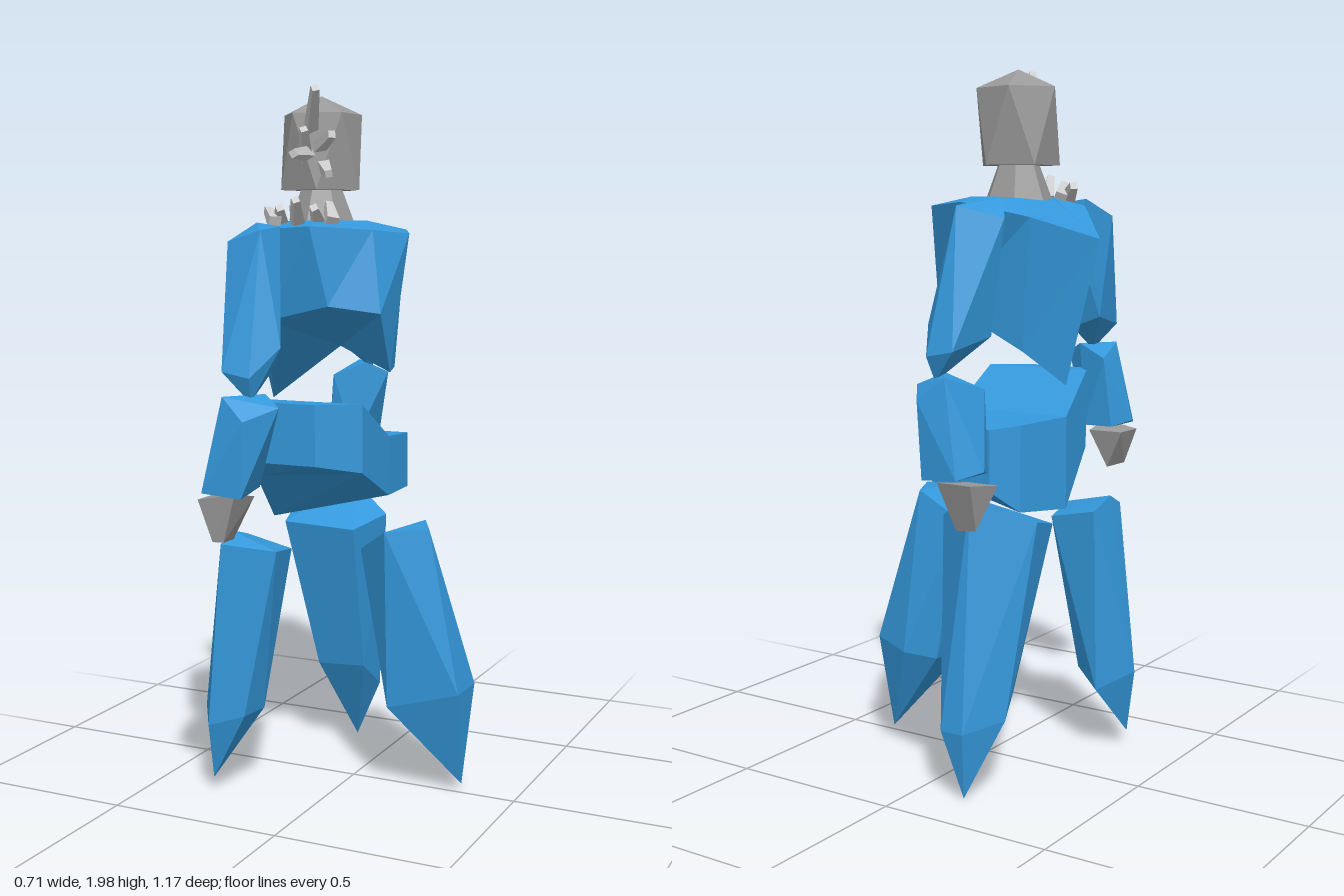
import * as THREE from 'three';
import { ConvexGeometry } from 'three/addons/geometries/ConvexGeometry.js';

const V = (p) => new THREE.Vector3(...p);

// Closed faceted skin over matching rings of points
function loft(rings) {
  const out = [];
  const tri = (...pts) => pts.forEach((p) => out.push(...p));
  const n = rings[0].length;
  const mid = (ring) => [0, 1, 2].map((k) => ring.reduce((s, p) => s + p[k], 0) / n);
  const last = rings[rings.length - 1];
  for (let i = 0; i < n; i++) {
    const j = (i + 1) % n;
    for (let r = 0; r + 1 < rings.length; r++) {
      const a = rings[r], b = rings[r + 1];
      tri(a[i], a[j], b[j]);
      tri(a[i], b[j], b[i]);
    }
    tri(mid(rings[0]), rings[0][j], rings[0][i]);
    tri(mid(last), last[i], last[j]);
  }
  const g = new THREE.BufferGeometry();
  g.setAttribute('position', new THREE.Float32BufferAttribute(out, 3));
  g.computeVertexNormals();
  return g;
}

export function createModel() {
  const model = new THREE.Group();
  const mat = (name, color) => {
    const m = new THREE.MeshStandardMaterial({ color, flatShading: true });
    m.name = name;
    return m;
  };
  const blue = mat('blue', 0x3498db);
  const grey = mat('grey', 0x999999);
  const pale = mat('paleGrey', 0xcccccc);

  const add = (name, geometry, material, parent = model) => {
    const mesh = new THREE.Mesh(geometry, material);
    mesh.name = name;
    parent.add(mesh);
    return mesh;
  };
  const hull = (name, points, material, parent) =>
    add(name, new ConvexGeometry(points.map(V)), material, parent);

  // Torso: pointed lower ring, broad shoulder ring, flat top
  add('torso', loft([
    [[0.02, 1.405, 0.21], [0.15, 1.385, 0.15], [0.126, 1.215, 0.03], [0.07, 1.215, -0.13],
      [0, 1.34, -0.19], [-0.21, 1.22, -0.15], [-0.27, 1.12, -0.02], [-0.175, 1.36, 0.19]],
    [[-0.02, 1.62, 0.24], [0.115, 1.61, 0.125], [0.17, 1.6, 0], [0.11, 1.61, -0.12],
      [-0.09, 1.62, -0.265], [-0.25, 1.58, -0.18], [-0.35, 1.52, 0.02], [-0.21, 1.61, 0.18]],
    [[-0.06, 1.635, 0.13], [0.02, 1.635, 0.07], [0.04, 1.635, 0], [0.01, 1.635, -0.07],
      [-0.09, 1.635, -0.13], [-0.17, 1.63, -0.1], [-0.22, 1.62, 0.01], [-0.15, 1.635, 0.1]],
  ]), blue);

  // Pelvis: bent block, sections are [z, left x, right x, top, low left, low right]
  const pelvis = [
    [-0.22, -0.15, 0.04, 1.01, 0.84, 0.85],
    [-0.16, -0.21, 0.1, 1.02, 0.78, 0.86],
    [0.0, -0.26, 0.11, 1.03, 0.77, 0.86],
    [0.18, -0.22, 0.11, 1.14, 0.92, 0.95],
    [0.25, -0.16, 0, 1.14, 0.97, 0.97],
  ];
  add('pelvis', loft(pelvis.map(([z, l, r, t, bl, br]) =>
    [[l, bl, z], [r, br, z], [r, t, z], [l, t, z]])), blue);

  // Three tapering legs
  hull('sideLeg', [
    [0.05, 0.71, 0.06], [0.07, 0.71, -0.05], [0.165, 0.785, 0.155], [0.26, 0.785, 0.06],
    [0.2, 0.785, -0.06], [0.155, 0.27, 0.11], [0.355, 0.32, 0.07], [0.355, 0.32, -0.06],
    [0.23, 0.3, -0.105], [0.15, 0.28, -0.05], [0.335, 0.03, -0.015],
  ], blue);
  hull('frontLeg', [
    [-0.27, 0.74, 0.3], [-0.27, 0.77, 0.24], [-0.105, 0.73, 0.28], [-0.13, 0.71, 0.14],
    [-0.275, 0.74, 0.135], [-0.355, 0.25, 0.245], [-0.3, 0.22, 0.33], [-0.2, 0.25, 0.3],
    [-0.19, 0.25, 0.2], [-0.27, 0.2, 0.165], [-0.31, 0.05, 0.285],
  ], blue);
  hull('backLeg', [
    [-0.14, 0.84, -0.3], [0.01, 0.76, -0.21], [-0.04, 0.73, -0.08], [-0.26, 0.74, -0.07],
    [-0.29, 0.77, -0.2], [-0.05, 0.2, -0.3], [-0.06, 0.28, -0.2], [-0.2, 0.28, -0.175],
    [-0.24, 0.23, -0.28], [-0.16, 0.2, -0.37], [-0.09, 0.2, -0.37], [-0.145, 0.01, -0.34],
  ], blue);

  // Two mirrored arms, the back one set further out in -x
  const upperArm = [
    [-0.14, 1.63, 0.31], [-0.06, 1.62, 0.33], [-0.19, 1.58, 0.38], [-0.07, 1.61, 0.42],
    [-0.1, 1.55, 0.295], [0, 1.31, 0.445], [-0.15, 1.28, 0.38], [-0.06, 1.245, 0.375],
    [-0.13, 1.25, 0.525], [-0.05, 1.235, 0.525], [-0.06, 1.17, 0.5],
  ];
  const forearm = [
    [-0.11, 1.19, 0.56], [0.02, 1.16, 0.495], [-0.04, 1.19, 0.455], [-0.14, 1.15, 0.425],
    [-0.04, 1.13, 0.58], [-0.195, 0.955, 0.51], [-0.16, 0.94, 0.585], [-0.05, 0.93, 0.575],
    [-0.07, 0.94, 0.435], [-0.16, 0.94, 0.44],
  ];
  for (const side of [1, -1]) {
    const arm = new THREE.Group();
    arm.name = side > 0 ? 'frontArm' : 'backArm';
    model.add(arm);
    const place = (pts, shift) => pts.map(([x, y, z]) => [side > 0 ? x : x - shift, y, z * side]);
    hull('upperArm', place(upperArm, 0.11), blue, arm);
    hull('forearm', place(forearm, 0.13), blue, arm);
    // Hands: the front one tapers in x, the back one in z
    hull('hand', side > 0 ? [
      [-0.18, 0.92, 0.57], [-0.07, 0.94, 0.57], [-0.07, 0.92, 0.465], [-0.18, 0.92, 0.47],
      [-0.14, 0.81, 0.565], [-0.11, 0.81, 0.56], [-0.12, 0.805, 0.49],
    ] : [
      [-0.33, 0.93, -0.58], [-0.23, 0.93, -0.58], [-0.23, 0.91, -0.44], [-0.32, 0.91, -0.44],
      [-0.32, 0.81, -0.54], [-0.26, 0.805, -0.54], [-0.28, 0.82, -0.48],
    ], grey, arm);
  }

  // Neck and head: opposed pentagon rings under a peak
  add('neck', new THREE.CylinderGeometry(0.06, 0.098, 0.1, 7), grey).position.set(-0.1, 1.67, 0);
  const pentagon = (y, turn) => Array.from({ length: 5 }, (_, i) => {
    const a = turn + (i / 5) * Math.PI * 2;
    return [-0.1 + 0.117 * Math.cos(a), y, 0.113 * Math.sin(a)];
  });
  hull('head', [[-0.1, 1.98, 0], ...pentagon(1.93, Math.PI), ...pentagon(1.72, 0)], grey);

  // Spikes on the face and collar, as [base, tip]
  const spikes = [
    [[-0.1, 1.87, 0.07], [-0.02, 1.985, 0.2]],
    [[-0.1, 1.82, 0.07], [-0.045, 1.81, 0.28]],
    [[-0.08, 1.83, 0.07], [0.01, 1.865, 0.16]],
    [[-0.11, 1.78, 0.07], [-0.07, 1.88, 0.17]],
    [[-0.06, 1.79, 0.07], [0, 1.76, 0.16]],
    [[-0.16, 1.63, 0.17], [-0.22, 1.665, 0.1]],
    [[-0.17, 1.63, 0.11], [-0.14, 1.67, 0.18]],
    [[-0.12, 1.63, 0.11], [-0.1, 1.675, 0.17]],
    [[-0.09, 1.63, 0.17], [-0.06, 1.69, 0.24]],
    [[-0.05, 1.63, 0.12], [-0.03, 1.67, 0.19]],
    [[0.01, 1.63, 0.16], [-0.03, 1.68, 0.1]],
  ];
  const up = new THREE.Vector3(0, 1, 0);
  for (const [base, tip] of spikes) {
    const a = V(base), b = V(tip), dir = b.clone().sub(a);
    const spike = add('spike', new THREE.CylinderGeometry(0.014, 0.024, dir.length(), 4), pale);
    spike.position.copy(a).add(b).multiplyScalar(0.5);
    spike.quaternion.setFromUnitVectors(up, dir.normalize());
  }
  return model;
}
